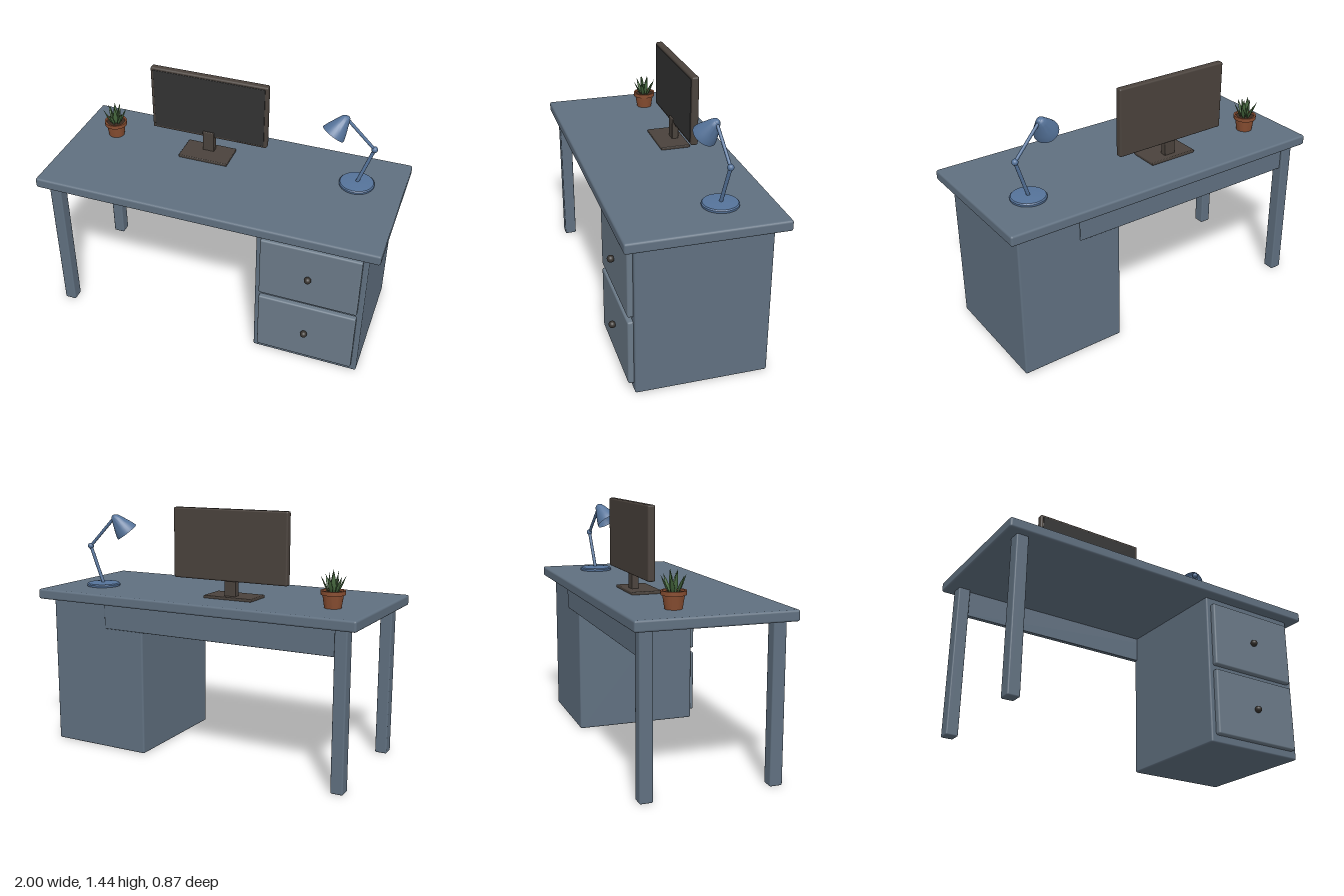
import * as THREE from 'three';
import { RoundedBoxGeometry } from 'three/addons/geometries/RoundedBoxGeometry.js';
import { toCreasedNormals } from 'three/addons/utils/BufferGeometryUtils.js';

const paint = (color, side = THREE.FrontSide) => new THREE.MeshStandardMaterial({ color, side });
const V = (x, y, z) => new THREE.Vector3(x, y, z);

export function createModel() {
  const model = new THREE.Group();
  const mats = {
    desk: paint(0x607080), drawer: paint(0x6b7a88), dark: paint(0x37332f),
    casing: paint(0x4a423c), screen: paint(0x333333), lamp: paint(0x55739a),
    shade: paint(0x55739a, THREE.DoubleSide), pot: paint(0x8a4f32),
    soil: paint(0x3a2a20), leaf: paint(0x47693f),
  };

  const add = (parent, name, geometry, material) => {
    const mesh = new THREE.Mesh(geometry, material);
    mesh.name = name;
    parent.add(mesh);
    return mesh;
  };
  const group = (name) => {
    const g = new THREE.Group();
    g.name = name;
    model.add(g);
    return g;
  };
  // Bevelled box given by its minimum and maximum corners
  const box = (parent, name, a, b, r, material) => {
    const m = add(parent, name, new RoundedBoxGeometry(b[0] - a[0], b[1] - a[1], b[2] - a[2], 2, r), material);
    m.position.set((a[0] + b[0]) / 2, (a[1] + b[1]) / 2, (a[2] + b[2]) / 2);
    return m;
  };
  const lathe = (points, segments = 32) => toCreasedNormals(
    new THREE.LatheGeometry(points.map(([x, y]) => new THREE.Vector2(x, y)), segments), 0.6);
  // Round bar between two points
  const rod = (parent, name, a, b, r, material) => {
    const d = b.clone().sub(a);
    const m = add(parent, name, new THREE.CylinderGeometry(r, r, d.length(), 16), material);
    m.position.copy(a).add(b).multiplyScalar(0.5);
    m.quaternion.setFromUnitVectors(V(0, 1, 0), d.normalize());
  };
  const ball = (parent, name, p, r, material) =>
    add(parent, name, new THREE.SphereGeometry(r, 20, 14), material).position.copy(p);

  // Desk: top, two legs, back apron
  const desk = group('desk');
  box(desk, 'deskTop', [-1, 0.88, -0.435], [1, 0.94, 0.435], 0.012, mats.desk);
  box(desk, 'frontLeg', [-0.94, 0, 0.32], [-0.87, 0.885, 0.392], 0.008, mats.desk);
  box(desk, 'backLeg', [-0.94, 0, -0.392], [-0.87, 0.885, -0.32], 0.008, mats.desk);
  box(desk, 'apron', [-0.9, 0.73, -0.375], [0.565, 0.885, -0.345], 0.005, mats.desk);

  // Cabinet with two drawers and round knobs
  const cabinet = group('cabinet');
  box(cabinet, 'cabinetBody', [0.31, 0, -0.367], [0.935, 0.885, 0.37], 0.01, mats.desk);
  for (const y of [0.045, 0.457]) {
    box(cabinet, 'drawer', [0.34, y, 0.36], [0.905, y + 0.383, 0.4], 0.01, mats.drawer);
    ball(cabinet, 'knob', V(0.622, y + 0.19, 0.415), 0.02, mats.dark);
  }

  // Monitor
  const monitor = group('monitor');
  box(monitor, 'monitorCase', [-0.52, 1.04, -0.204], [0.19, 1.44, -0.162], 0.01, mats.casing);
  box(monitor, 'screen', [-0.503, 1.055, -0.175], [0.173, 1.425, -0.159], 0.002, mats.screen);
  box(monitor, 'monitorNeck', [-0.2, 0.945, -0.19], [-0.13, 1.08, -0.15], 0.005, mats.casing);
  box(monitor, 'monitorFoot', [-0.315, 0.938, -0.225], [-0.015, 0.956, -0.05], 0.005, mats.casing);

  // Desk lamp: domed foot, two arms, joints, bell shade
  const lamp = group('lamp');
  const foot = add(lamp, 'lampFoot', lathe([[0, 0], [0.098, 0], [0.1, 0.004], [0.1, 0.013],
    [0.094, 0.019], [0.06, 0.022], [0, 0.024]], 40), mats.lamp);
  foot.position.set(0.735, 0.939, -0.141);
  const base = V(0.735, 0.955, -0.143), elbow = V(0.81, 1.18, -0.16), head = V(0.645, 1.356, -0.14);
  rod(lamp, 'lowerArm', base, elbow, 0.01, mats.lamp);
  rod(lamp, 'upperArm', elbow, head, 0.009, mats.lamp);
  ball(lamp, 'elbowJoint', elbow, 0.018, mats.lamp);
  ball(lamp, 'headJoint', head, 0.017, mats.lamp);
  const shade = add(lamp, 'lampShade', lathe([[0.07, -0.118], [0.068, -0.108], [0.058, -0.08],
    [0.045, -0.05], [0.032, -0.02], [0.022, 0], [0.012, 0.008], [0, 0.01]]), mats.shade);
  shade.position.set(0.642, 1.362, -0.142);
  shade.quaternion.setFromUnitVectors(V(0, -1, 0), V(-0.48, -0.79, 0.37).normalize());

  // Potted plant: pot with rim, soil, rings of pointed leaves
  const plant = group('plant');
  plant.position.set(-0.765, 0.939, -0.153);
  add(plant, 'pot', lathe([[0, 0], [0.046, 0], [0.057, 0.072], [0.066, 0.072], [0.067, 0.095],
    [0.056, 0.095], [0.054, 0.08]]), mats.pot);
  const soil = add(plant, 'soil', new THREE.CylinderGeometry(0.055, 0.053, 0.01, 24), mats.soil);
  soil.position.y = 0.08;
  const leafShape = new THREE.LatheGeometry([[0, 0], [0.009, 0.005], [0.015, 0.04], [0.011, 0.075], [0, 0.12]]
    .map(([x, y]) => new THREE.Vector2(x, y)), 8);
  const rings = [[4, 0.012, 0.12, 1, 0.4], [6, 0.024, 0.45, 0.85, 0]];
  for (const [count, radius, tilt, size, turn] of rings) {
    for (let i = 0; i < count; i++) {
      const a = turn + (i / count) * Math.PI * 2;
      const leaf = add(plant, 'leaf', leafShape, mats.leaf);
      leaf.position.set(Math.sin(a) * radius, 0.082, Math.cos(a) * radius);
      leaf.rotation.set(tilt, a, 0, 'YXZ');
      leaf.scale.set(size, size, size * 0.4);
    }
  }
  return model;
}
